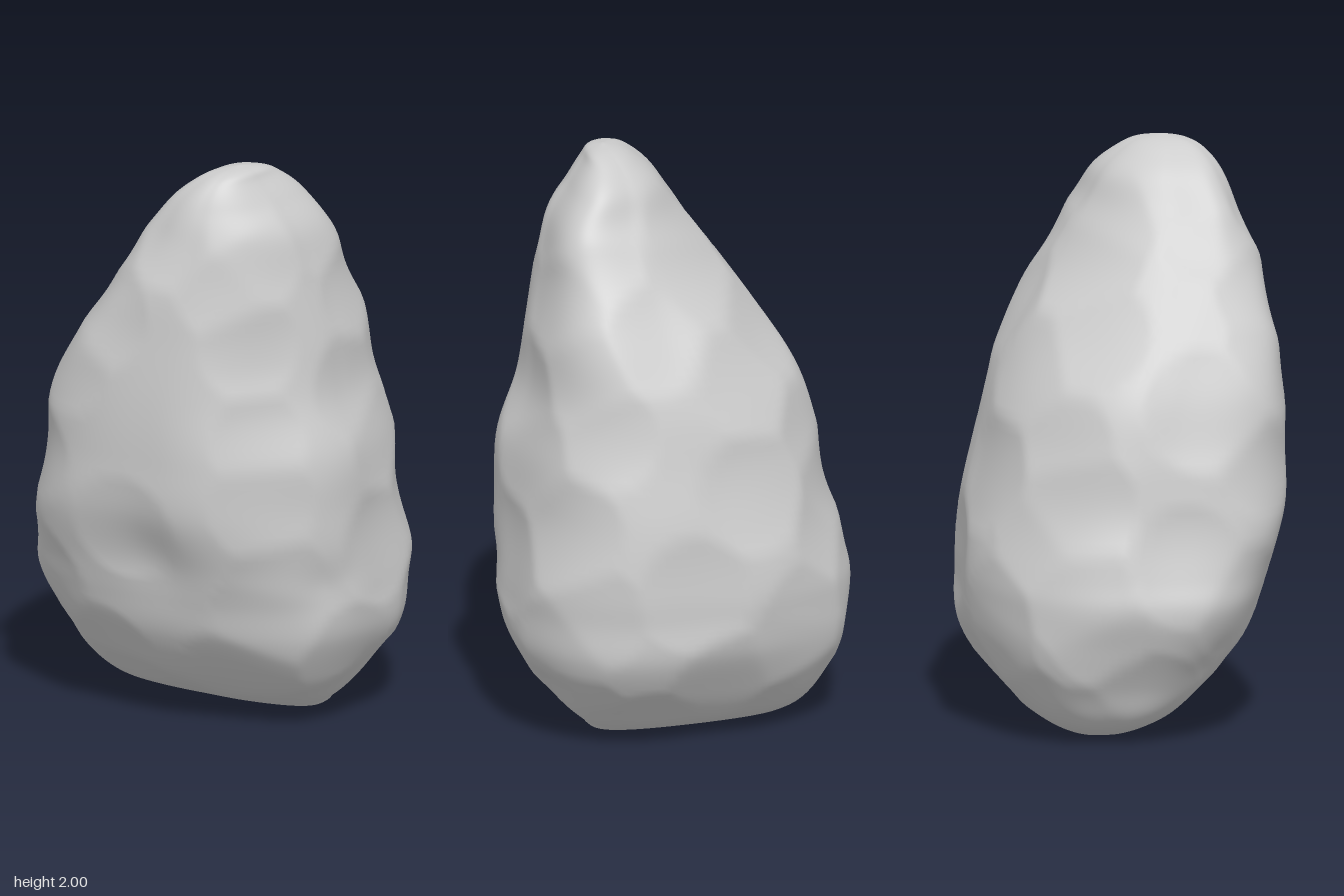
import * as THREE from 'three';
import { mergeVertices } from 'three/addons/utils/BufferGeometryUtils.js';

// Horizontal sections from top to bottom: y, xMin, xMax, zMin, zMax
const SECTIONS = [
  [2.0, 0.18, 0.18, 0.18, 0.18],
  [1.985, 0.11, 0.24, 0.09, 0.27],
  [1.95, 0.05, 0.27, 0.02, 0.33],
  [1.88, -0.03, 0.33, -0.06, 0.385],
  [1.77, -0.11, 0.41, -0.12, 0.435],
  [1.6, -0.21, 0.445, -0.215, 0.475],
  [1.4, -0.34, 0.49, -0.335, 0.495],
  [1.2, -0.45, 0.515, -0.41, 0.515],
  [1.0, -0.5, 0.575, -0.46, 0.525],
  [0.8, -0.535, 0.585, -0.51, 0.525],
  [0.6, -0.59, 0.605, -0.54, 0.465],
  [0.48, -0.61, 0.605, -0.54, 0.43],
  [0.34, -0.57, 0.59, -0.525, 0.385],
  [0.2, -0.51, 0.515, -0.45, 0.295],
  [0.1, -0.46, 0.43, -0.36, 0.18],
  [0.04, -0.39, 0.36, -0.28, 0.07],
  [0.01, -0.28, 0.3, -0.2, -0.03],
  [0.0, 0.03, 0.03, -0.11, -0.11],
];

// Larger hollows worn into the lower body: x, y, z, radius, depth
const HOLLOWS = [
  [0.02, 0.62, 0.45, 0.14, 0.02],
  [-0.45, 0.3, 0.22, 0.1, 0.02],
  [0.55, 0.55, 0.2, 0.1, 0.02],
  [0.5, 0.2, -0.15, 0.1, 0.015],
];

const { smoothstep } = THREE.MathUtils;

function seeded(seed) {
  return () => {
    seed = (seed * 16807) % 2147483647;
    return seed / 2147483647;
  };
}

const curveOf = (lo, hi) => new THREE.CatmullRomCurve3(
  SECTIONS.map((s) => new THREE.Vector3(s[lo], s[0], s[hi])), false, 'catmullrom', 0.5);

const xCurve = curveOf(1, 2);
const zCurve = curveOf(3, 4);

// Rounded-rectangle sections, boxier towards the base
const squarish = (c, y) => Math.sign(c) * Math.pow(Math.abs(c), 0.7 + 0.12 * smoothstep(y, 0.05, 0.45));

// How far each corner of a section swells (+) or is worn away (-)
function cornerSwell(c, s, y) {
  const middle = smoothstep(y, 0.1, 0.5) * (1 - smoothstep(y, 1.3, 1.65));
  const top = smoothstep(y, 1.5, 1.8);
  const weight = (2 * c * s) ** 2;
  if (c < 0 && s > 0) return weight * (0.11 * middle - 0.1 * top);
  if (c > 0 && s > 0) return weight * -0.06 * middle * smoothstep(y, 0.4, 1.0);
  if (c < 0 && s < 0) return weight * -0.05 * middle;
  return weight * 0.02 * middle;
}

// Point on the smooth body: u runs around, v from the top down
function bodyPoint(u, v) {
  const X = xCurve.getPoint(v);
  const Z = zCurve.getPoint(v);
  const angle = u * Math.PI * 2;
  const c = -Math.cos(angle);
  const s = Math.sin(angle);
  // The crest runs diagonally, fading out towards the base
  const skew = 0.5 * smoothstep(X.y, 0.9, 1.95);
  const swell = 1 + cornerSwell(c, s, X.y);
  return new THREE.Vector3(
    (X.x + X.z) / 2 + ((X.z - X.x) / 2) * squarish(c, X.y) * swell,
    X.y,
    (Z.x + Z.z) / 2 + ((Z.z - Z.x) / 2) * squarish(Math.sin(angle + skew), X.y) * swell);
}

// Centres of the worn facets, scattered over the body
function facetCentres(count) {
  const rand = seeded(4217);
  const centres = [];
  for (let i = 0; i < count; i++) {
    const u = (i * 0.618034 + rand() * 0.15) % 1;
    const v = 0.16 + 0.78 * (i + rand()) / count;
    centres.push({ p: bodyPoint(u, v), lift: rand() * 0.022 });
  }
  return centres;
}

function rockGeometry() {
  const around = 144;
  const down = 120;
  let geo = new THREE.SphereGeometry(1, around, down);
  const pos = geo.attributes.position;
  for (let j = 0, k = 0; j <= down; j++) {
    for (let i = 0; i <= around; i++, k++) {
      const p = bodyPoint((i % around) / around, j / down);
      pos.setXYZ(k, p.x, p.y, p.z);
    }
  }
  geo.deleteAttribute('uv');
  geo.deleteAttribute('normal');
  geo = mergeVertices(geo, 1e-5);
  geo.computeVertexNormals();

  // Flatten each facet, leave soft ridges between neighbours, then press in the hollows
  const centres = facetCentres(64);
  const hollows = HOLLOWS.map(([x, y, z, radius, depth]) => ({ p: new THREE.Vector3(x, y, z), radius, depth }));
  const P = geo.attributes.position;
  const N = geo.attributes.normal;
  const p = new THREE.Vector3();
  const n = new THREE.Vector3();
  for (let k = 0; k < P.count; k++) {
    p.fromBufferAttribute(P, k);
    n.fromBufferAttribute(N, k);
    let sum = 0;
    for (const c of centres) sum += Math.exp(-240 * (p.distanceToSquared(c.p) + c.lift));
    const d = Math.min(-Math.log(sum + 1e-9) / 240, 0.05);
    const fade = smoothstep(p.y, 0.0, 0.2) * (1 - smoothstep(p.y, 1.75, 1.95));
    let offset = 0.52 * (d - 0.028) * fade;
    for (const h of hollows) offset -= h.depth * Math.exp(-p.distanceToSquared(h.p) / h.radius ** 2);
    p.addScaledVector(n, offset);
    P.setXYZ(k, p.x, p.y, p.z);
  }
  geo.computeVertexNormals();
  return geo;
}

export function createModel() {
  const group = new THREE.Group();
  group.name = 'rock';
  const boulder = new THREE.Mesh(rockGeometry(), new THREE.MeshStandardMaterial({ color: 0xcccccc }));
  boulder.name = 'boulder';
  group.add(boulder);
  return group;
}
